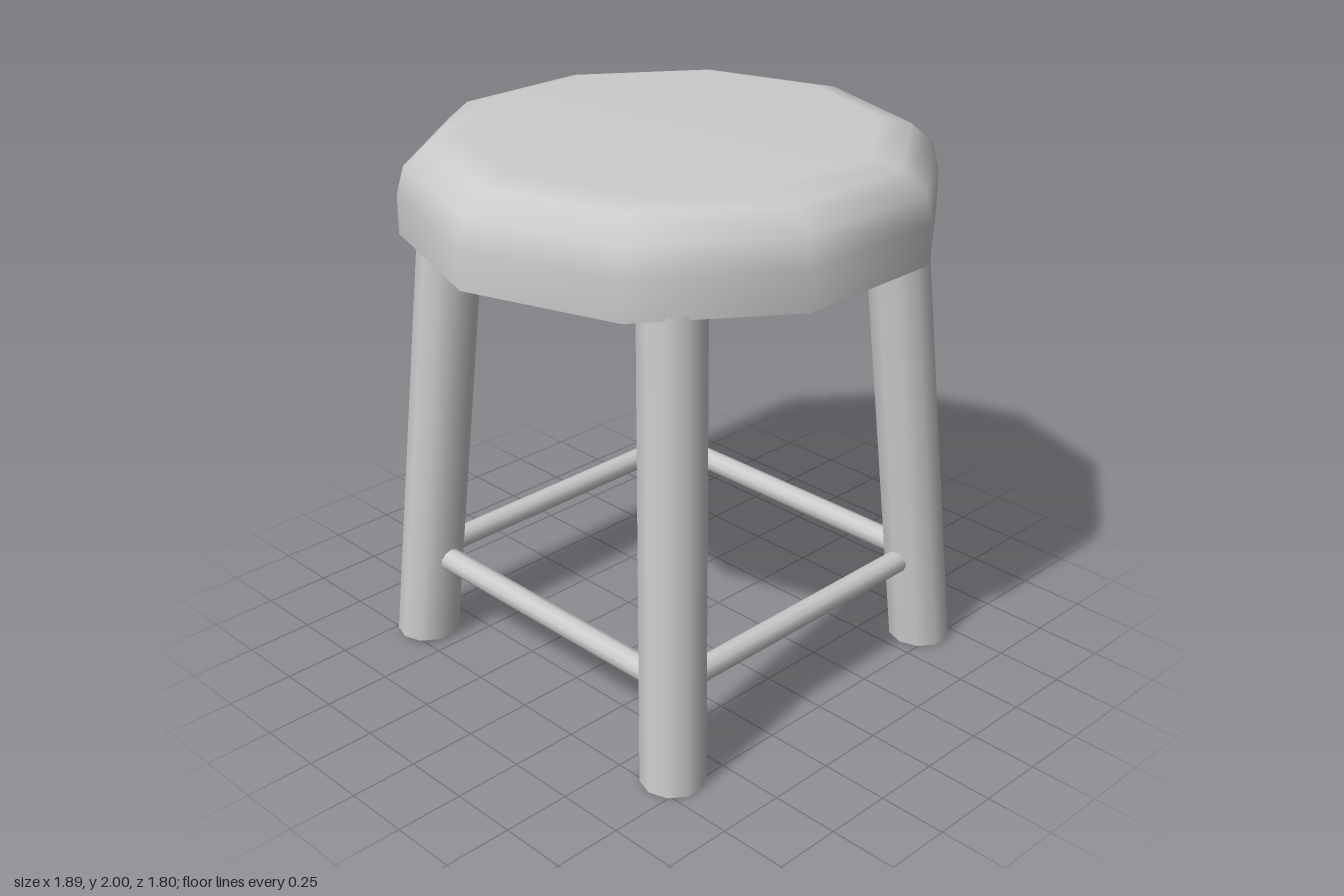
import * as THREE from 'three';

const SIDES = 10;
const RUNG_Y = 0.35;
const LEG_TOP = 1.66;
const material = new THREE.MeshStandardMaterial({ color: 0xcccccc });

// Splayed legs: centre [x, z] at the floor and where it meets the seat, plus foot height
const legs = {
  frontRight: { foot: [-0.67, 0.68], top: [-0.563, 0.568], y: 0 },
  frontLeft: { foot: [0.655, 0.68], top: [0.528, 0.568], y: 0 },
  backLeft: { foot: [0.645, -0.657], top: [0.52, -0.522], y: 0.012 },
  backRight: { foot: [-0.675, -0.657], top: [-0.569, -0.522], y: 0.012 },
};

function addMesh(parent, geometry, name) {
  const mesh = new THREE.Mesh(geometry, material);
  mesh.name = name;
  parent.add(mesh);
  return mesh;
}

// Centre line of a leg at a given height
function legPoint({ foot, top }, y) {
  const t = y / LEG_TOP;
  return new THREE.Vector3(
    THREE.MathUtils.lerp(foot[0], top[0], t), y,
    THREE.MathUtils.lerp(foot[1], top[1], t));
}

// Cylinder sheared along the leg's lean, so both ends stay level
function legGeometry(leg) {
  const height = 1.7 - leg.y;
  const slopeX = (leg.top[0] - leg.foot[0]) / LEG_TOP;
  const slopeZ = (leg.top[1] - leg.foot[1]) / LEG_TOP;
  const geometry = new THREE.CylinderGeometry(0.115, 0.115, height, SIDES, 1, false, Math.PI / 2);
  geometry.translate(0, leg.y + height / 2, 0);
  return geometry.applyMatrix4(new THREE.Matrix4().set(
    1, slopeX, 0, leg.foot[0],
    0, 1, 0, 0,
    0, slopeZ, 1, leg.foot[1],
    0, 0, 0, 1));
}

export function createModel() {
  const stool = new THREE.Group();
  stool.name = 'stool';

  // Ten-sided seat with a rounded upper rim
  const seat = new THREE.Group();
  seat.name = 'seat';
  stool.add(seat);
  const profile = [[0.945, 1.66], [0.945, 1.8], [0.918, 1.9], [0.835, 1.972], [0.725, 2], [0, 2]]
    .map(([r, y]) => new THREE.Vector2(r, y));
  addMesh(seat, new THREE.LatheGeometry(profile, SIDES, Math.PI / 2), 'seatTop');
  const underside = addMesh(seat, new THREE.CircleGeometry(0.945, SIDES), 'seatUnderside');
  underside.rotation.x = Math.PI / 2;
  underside.position.y = 1.66;

  // Legs
  for (const [name, leg] of Object.entries(legs)) addMesh(stool, legGeometry(leg), `${name}Leg`);

  // Rungs join each leg to the next, all the way round
  const corners = Object.values(legs);
  ['front', 'left', 'back', 'right'].forEach((side, i) => {
    const start = legPoint(corners[i], RUNG_Y);
    const end = legPoint(corners[(i + 1) % 4], RUNG_Y);
    const direction = end.clone().sub(start);
    const geometry = new THREE.CylinderGeometry(0.043, 0.043, direction.length(), SIDES);
    const rung = addMesh(stool, geometry, `${side}Rung`);
    rung.position.copy(start).add(end).multiplyScalar(0.5);
    rung.quaternion.setFromUnitVectors(new THREE.Vector3(0, 1, 0), direction.normalize());
  });

  return stool;
}
